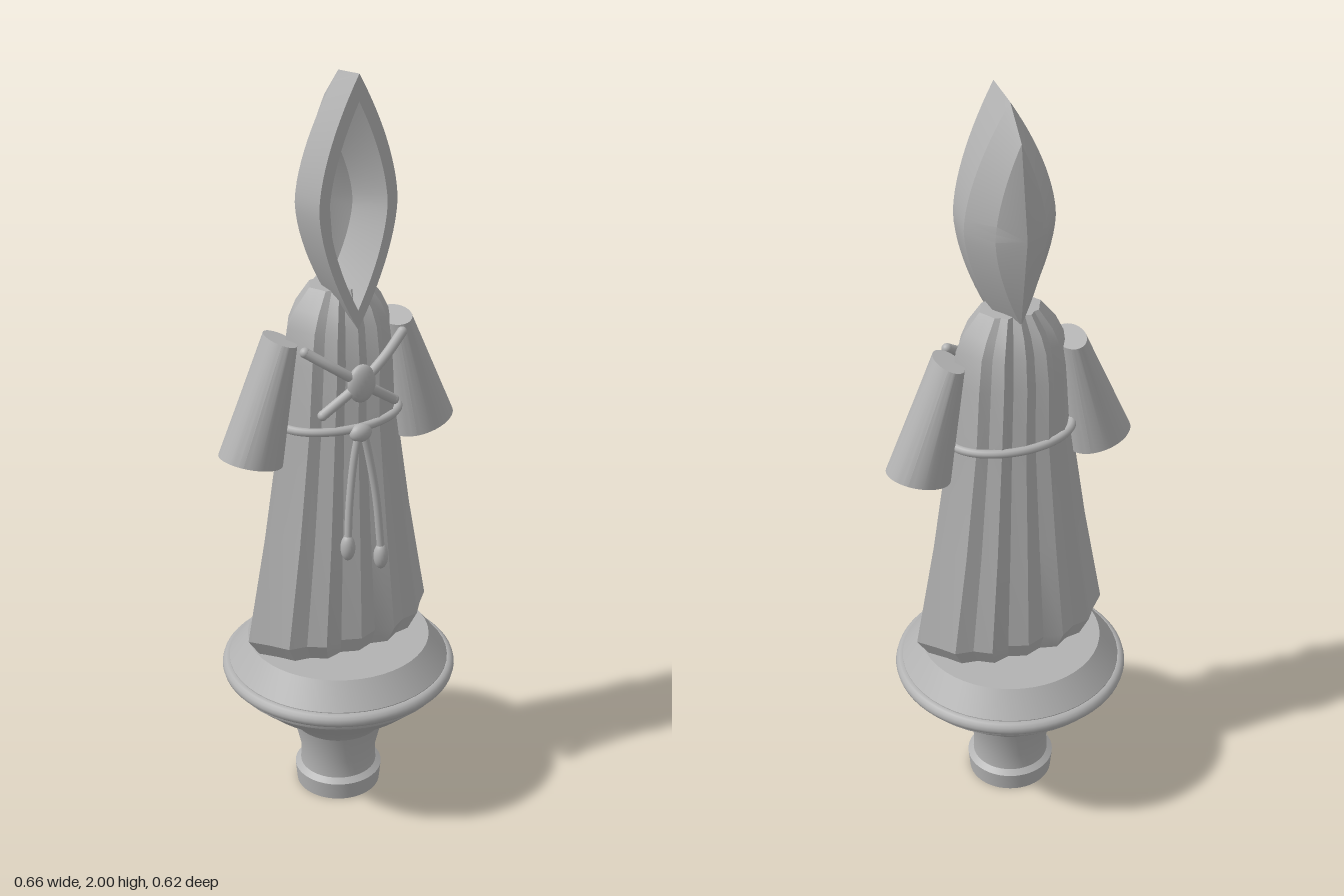
import * as THREE from 'three';
import { toCreasedNormals } from 'three/addons/utils/BufferGeometryUtils.js';

const stone = new THREE.MeshStandardMaterial({ color: 0xb2b2b2 });
stone.name = 'grey stone';

// Joins closed rings of [x, y, z] points; a collapsed ring closes an end
function loft(rings, crease) {
  const n = rings[0].length, index = [];
  for (let r = 0; r < rings.length - 1; r++) {
    for (let i = 0; i < n; i++) {
      const a = r * n + i, b = r * n + (i + 1) % n;
      index.push(a, b, a + n, b, b + n, a + n);
    }
  }
  const g = new THREE.BufferGeometry();
  g.setAttribute('position', new THREE.Float32BufferAttribute(rings.flat(2), 3));
  g.setIndex(index);
  return toCreasedNormals(g, crease);
}

const ring = (n, f) => Array.from({ length: n }, (_, i) => f(i / n * Math.PI * 2));
const vec = (p) => new THREE.Vector3(...p);

function cord(points, radius, closed = false) {
  const curve = new THREE.CatmullRomCurve3(points.map(vec), closed);
  return new THREE.TubeGeometry(curve, closed ? 64 : 20, radius, 10, closed);
}

function ellipsoid(rx, ry, rz) {
  return new THREE.SphereGeometry(1, 20, 14).scale(rx, ry, rz);
}

// Turned pedestal
function pedestalGeometry() {
  const profile = [[0, 0], [0.112, 0], [0.117, 0.05], [0.102, 0.062], [0.1, 0.11], [0.12, 0.195],
    [0.15, 0.23], [0.22, 0.285], [0.285, 0.345], [0.29, 0.36], [0.29, 0.4], [0.24, 0.465], [0, 0.465]];
  const g = new THREE.LatheGeometry(profile.map(([x, y]) => new THREE.Vector2(x, y)), 48);
  return toCreasedNormals(g, 0.4);
}

// Pleated robe: one folded section scaled up the body
function robeGeometry() {
  const quarter = [[0, 1], [0.19, 0.85], [0.38, 0.96], [0.54, 0.74], [0.72, 0.68], [0.84, 0.36], [1, 0]];
  const half = [...quarter, ...quarter.slice(0, -1).reverse().map(([x, z]) => [x, -z])];
  const section = [...half, ...half.slice(1, -1).reverse().map(([x, z]) => [-x, z])];
  const levels = [[0.465, 0, 0], [0.465, 0.235, 0.112], [0.51, 0.265, 0.127], [0.8, 0.212, 0.116],
    [1.11, 0.165, 0.103], [1.28, 0.155, 0.108], [1.365, 0.142, 0.1], [1.41, 0.12, 0.088],
    [1.46, 0.08, 0.062], [1.46, 0, 0]];
  return loft(levels.map(([y, sx, sz]) => section.map(([x, z]) => [x * sx, y, z * sz])), 0.3);
}

// Pointed leaf outline, the basis of the hood
function leaf(width, bottom, top, z) {
  const mid = (bottom + top) / 2, h = (top - bottom) / 2;
  return ring(48, (a) => {
    const u = 1 - Math.abs(((a / Math.PI + 0.5) % 2) - 1) * 2;
    const side = Math.cos(a) >= 0 ? 1 : -1;
    const v = Math.abs(u);
    return [side * width * (1 - v ** 1.65), mid - u * h * -1 * (Math.abs(u) < 1e-9 ? 0 : 1), z];
  });
}

// Hood: back ridge, side wall, rim, then the hollow
function hoodGeometry() {
  const outline = (w, b, t, z) => {
    const pts = leaf(w, b, t, z);
    // keep the winding counter-clockwise seen from the front
    let area = 0;
    pts.forEach((p, i) => {
      const q = pts[(i + 1) % pts.length];
      area += p[0] * q[1] - q[0] * p[1];
    });
    return area < 0 ? pts.map((p) => [-p[0], p[1], p[2]]) : pts;
  };
  return loft([
    outline(0, 1.68, 1.68, -0.105),
    outline(0.065, 1.44, 1.91, -0.068),
    outline(0.117, 1.38, 1.985, 0),
    outline(0.105, 1.37, 2.0, 0.1),
    outline(0.078, 1.42, 1.935, 0.1),
    outline(0.05, 1.49, 1.82, -0.02),
    outline(0, 1.66, 1.66, -0.045),
  ], 0.4);
}

// Wide hollow sleeve, flaring toward the cuff, centred on its axis
function sleeveGeometry() {
  const rows = [[-0.08, 0, 0], [-0.08, 0.036, 0.03], [-0.16, 0.052, 0.045],
    [-0.16, 0.085, 0.07], [0.16, 0.036, 0.062], [0.16, 0, 0]];
  return loft(rows.map(([y, rx, rz]) =>
    ring(40, (a) => [Math.sin(a) * rx, y, Math.cos(a) * rz])), 0.5);
}

export function createModel() {
  const model = new THREE.Group();
  model.name = 'hooded figure finial';
  const add = (name, geometry, x = 0, y = 0, z = 0) => {
    const mesh = new THREE.Mesh(geometry, stone);
    mesh.name = name;
    mesh.position.set(x, y, z);
    model.add(mesh);
    return mesh;
  };

  add('pedestal', pedestalGeometry());
  add('pedestalRing', new THREE.TorusGeometry(0.29, 0.019, 12, 64).rotateX(Math.PI / 2), 0, 0.379, 0);
  add('robe', robeGeometry());
  add('hood', hoodGeometry());

  // Belt, knot and chest medallion
  add('belt', cord(ring(16, (a) => [Math.sin(a) * 0.163, 1.11, Math.cos(a) * 0.106]), 0.011, true));
  add('beltKnot', ellipsoid(0.03, 0.024, 0.02), 0, 1.1, 0.115);
  add('medallion', ellipsoid(0.038, 0.05, 0.02), 0, 1.235, 0.118);

  for (const s of [1, -1]) {
    const side = s > 0 ? 'left' : 'right';
    add(side + 'Sleeve', sleeveGeometry(), s * 0.204, 1.187, 0).rotation.z = s * 0.272;

    // Crossed chest cords, capped at both ends
    const top = [s * 0.135, 1.33, 0.08], low = [-s * 0.1, 1.165, 0.104];
    add(side + 'ChestCord', cord([top, [s * 0.07, 1.285, 0.106], [0, 1.235, 0.115], low], 0.013));
    for (const end of [top, low]) add(side + 'CordEnd', ellipsoid(0.013, 0.013, 0.013), ...end);

    // Hanging cords with tassels
    const drop = s > 0 ? 0.75 : 0.8;
    add(side + 'HangingCord', cord([[s * 0.008, 1.1, 0.118], [s * 0.022, 1.03, 0.12],
      [s * 0.038, 0.92, 0.128], [s * 0.048, drop + 0.02, 0.138]], 0.01));
    add(side + 'Tassel', ellipsoid(0.019, 0.036, 0.019), s * 0.048, drop, 0.138);
  }
  return model;
}
